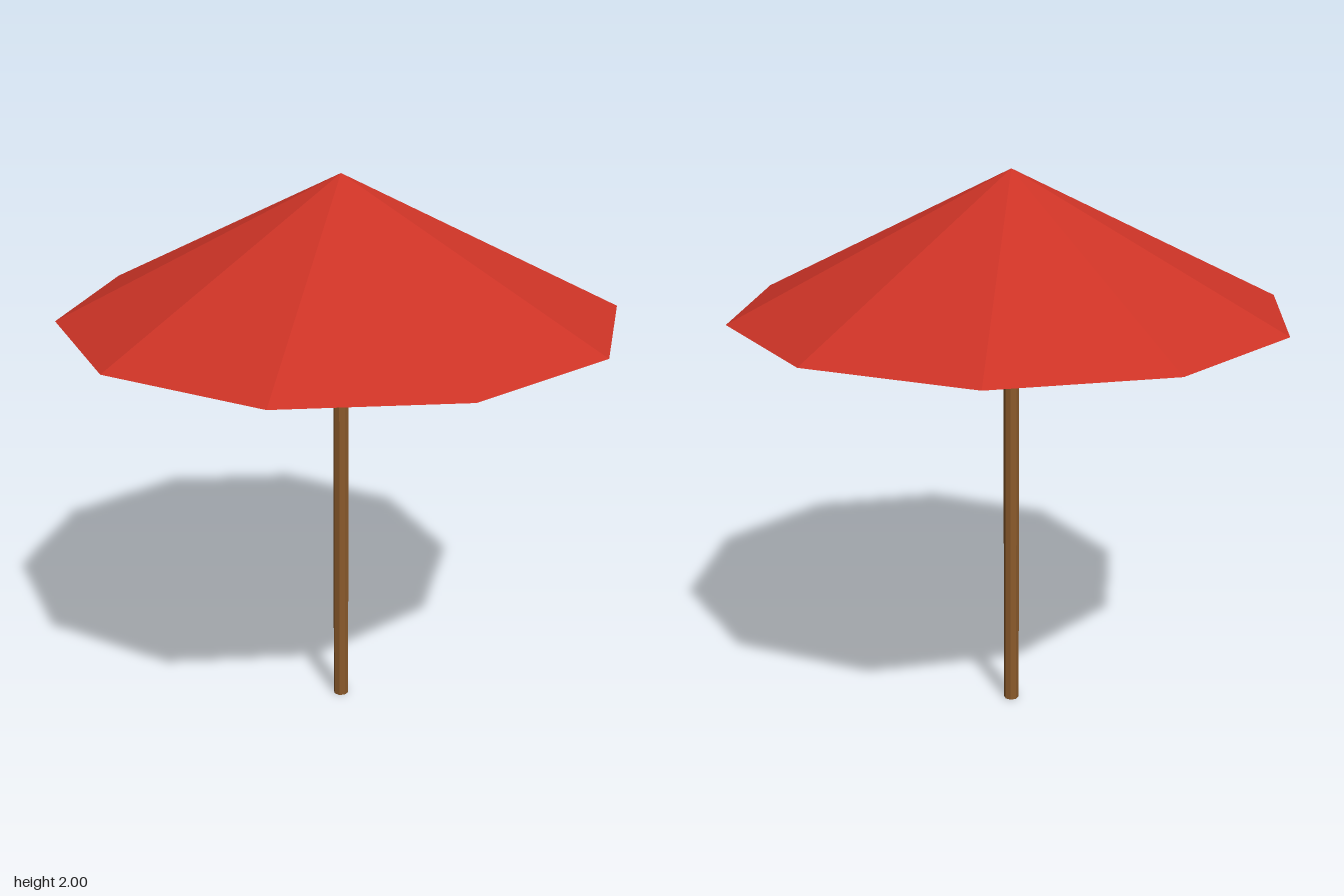
import * as THREE from 'three';

export function createModel() {
  const model = new THREE.Group();
  model.name = 'parasol';

  const red = new THREE.MeshStandardMaterial({ color: 0xcc3326 });
  red.name = 'red canvas';
  red.flatShading = true;
  const brown = new THREE.MeshStandardMaterial({ color: 0x8b5a2b });
  brown.name = 'brown wood';
  brown.flatShading = true;

  const add = (name, geometry, material, y) => {
    const mesh = new THREE.Mesh(geometry, material);
    mesh.name = name;
    mesh.position.y = y;
    model.add(mesh);
  };

  const rimY = 1.515;
  const topY = 2;
  const poleTop = 1.75;

  // Ten-sided canopy, closed underneath, with a corner facing the front
  add('canopy', new THREE.ConeGeometry(0.975, topY - rimY, 10), red, (rimY + topY) / 2);

  // Eight-sided pole reaching up into the canopy
  add('pole', new THREE.CylinderGeometry(0.028, 0.028, poleTop, 8), brown, poleTop / 2);

  return model;
}
